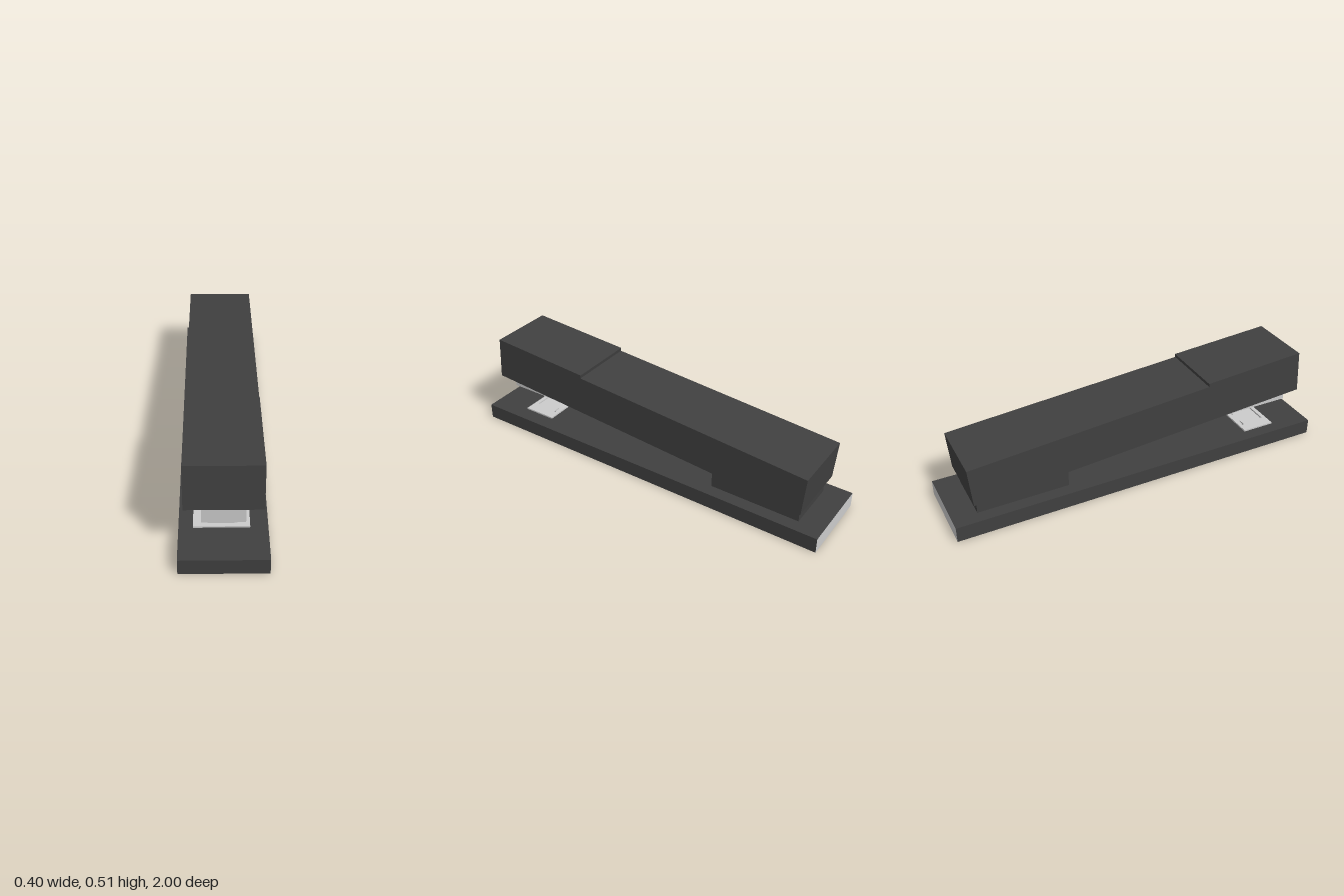
import * as THREE from 'three';

const dark = new THREE.MeshStandardMaterial({ color: 0x404040, flatShading: true });
const grey = new THREE.MeshStandardMaterial({ color: 0xcccccc, flatShading: true });

// Box given by its min and max corners
function box(name, [x0, y0, z0], [x1, y1, z1], material) {
  const mesh = new THREE.Mesh(new THREE.BoxGeometry(x1 - x0, y1 - y0, z1 - z0), material);
  mesh.position.set((x0 + x1) / 2, (y0 + y1) / 2, (z0 + z1) / 2);
  mesh.name = name;
  return mesh;
}

const points = list => list.map(([a, b]) => new THREE.Vector2(a, b));

export function createModel() {
  const group = new THREE.Group();
  group.name = 'stapler';

  // Base slab with a pale rear end face
  group.add(box('base', [-0.2, 0, -1], [0.2, 0.08, 1], [dark, dark, dark, dark, dark, grey]));

  // Hinge block, its top sunk into the arm
  group.add(box('hingeBlock', [-0.135, 0.08, -0.875], [0.135, 0.19, -0.405], dark));

  // Tilted arm: side profile (z, y) with the stepped front cap, extruded across x
  const profile = new THREE.Shape(points([
    [0.915, 0.288], [0.9, 0.512], [0.355, 0.473], [0.357, 0.455], [-0.91, 0.358], [-0.895, 0.155],
  ]));
  const armGeometry = new THREE.ExtrudeGeometry(profile, { depth: 0.346, bevelEnabled: false });
  armGeometry.translate(0, 0, -0.173).rotateY(-Math.PI / 2);
  // shape x now runs along +z
  const arm = new THREE.Mesh(armGeometry, dark);
  arm.name = 'arm';
  group.add(arm);

  // Staple magazine under the arm, with a small latch through its sides
  group.add(box('magazine', [-0.096, 0.195, -0.45], [0.096, 0.3, 0.89], grey));
  group.add(box('magazineLatch', [-0.099, 0.215, 0.745], [0.099, 0.262, 0.775], grey));

  // Anvil plate with slots, drawn as (x, -z) and laid flat
  const plate = new THREE.Shape(points([[-0.135, -0.8], [0.119, -0.8], [0.119, -0.625], [-0.135, -0.625]]));
  const slots = [
    [[-0.07, -0.779], [0.05, -0.779], [0.05, -0.771], [-0.07, -0.771]],
    ...[-1, 1].map(s => [[0.035, -0.655], [0.075, -0.655], [0.075, -0.643], [0.068, -0.643], [0.068, -0.648], [0.035, -0.648]]
      .map(([x, y]) => [s * x - 0.008, y])),
  ];
  slots.forEach(slot => plate.holes.push(new THREE.Path(points(slot))));
  const anvil = new THREE.Mesh(new THREE.ExtrudeGeometry(plate, { depth: 0.008, bevelEnabled: false }), grey);
  anvil.rotation.x = -Math.PI / 2;
  anvil.position.y = 0.08;
  anvil.name = 'anvilPlate';
  group.add(anvil);

  return group;
}
